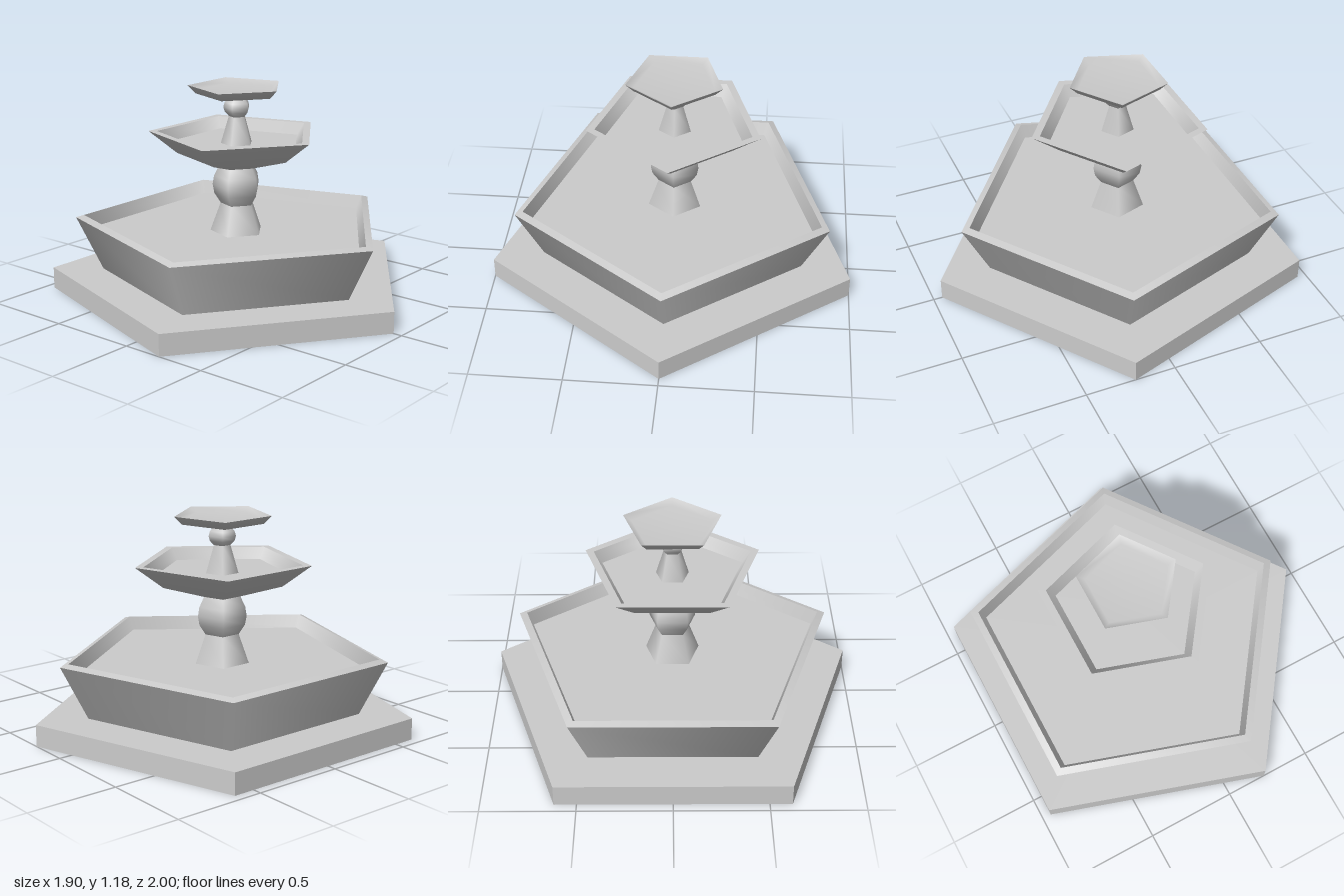
import * as THREE from 'three';

const SIDES = 5;

export function createModel() {
  const fountain = new THREE.Group();
  fountain.name = 'fountain';
  const smooth = new THREE.MeshStandardMaterial({ color: 0xcccccc });
  const flat = new THREE.MeshStandardMaterial({ color: 0xcccccc, flatShading: true });

  // Turn [radius, height] strips into a five-sided part with one corner on +x.
  // Each strip is smooth; the joints between strips stay sharp.
  function turned(name, ...strips) {
    const part = new THREE.Group();
    part.name = name;
    for (const strip of strips) {
      const points = strip.map(([r, y]) => new THREE.Vector2(r, y));
      const mesh = new THREE.Mesh(new THREE.LatheGeometry(points, SIDES, Math.PI / 2), smooth);
      mesh.name = name + 'Surface';
      part.add(mesh);
    }
    fountain.add(part);
  }

  // Ground slab
  const slab = new THREE.Mesh(
    new THREE.CylinderGeometry(1.0515, 1.0515, 0.12, SIDES, 1, false, Math.PI / 2), flat);
  slab.name = 'baseSlab';
  slab.position.y = 0.06;
  fountain.add(slab);

  // Large basin: outer wall, sloped rim, inner wall, floor
  turned('basin',
    [[0.765, 0.12], [0.912, 0.42]],
    [[0.912, 0.42], [0.866, 0.434]],
    [[0.866, 0.434], [0.83, 0.36]],
    [[0.83, 0.36], [0, 0.36]]);

  // Lower pedestal and its bulb
  turned('lowerStem', [[0.153, 0.36], [0.095, 0.52]]);
  turned('lowerBulb',
    [[0.095, 0.52], [0.13, 0.575], [0.139, 0.625], [0.131, 0.675], [0.103, 0.732]]);

  // Middle bowl: underside, rim, inner wall, floor
  turned('middleBowl',
    [[0, 0.73], [0.1, 0.73], [0.335, 0.8], [0.492, 0.922]],
    [[0.492, 0.922], [0.445, 0.922]],
    [[0.445, 0.922], [0.397, 0.86]],
    [[0.397, 0.86], [0, 0.86]]);

  // Upper pedestal and its bulb
  turned('upperStem', [[0.092, 0.86], [0.047, 1.012]]);
  turned('upperBulb',
    [[0.047, 1.012], [0.07, 1.037], [0.077, 1.062], [0.07, 1.088], [0.047, 1.115]]);

  // Top dish: underside, then shallow inside
  turned('topDish',
    [[0, 1.112], [0.05, 1.112], [0.228, 1.135], [0.272, 1.18]],
    [[0.272, 1.18], [0.227, 1.155], [0, 1.155]]);

  // A pentagon is deeper towards its corner, so shift to centre the footprint
  fountain.children.forEach((part) => { part.position.x = -0.1; });
  return fountain;
}
